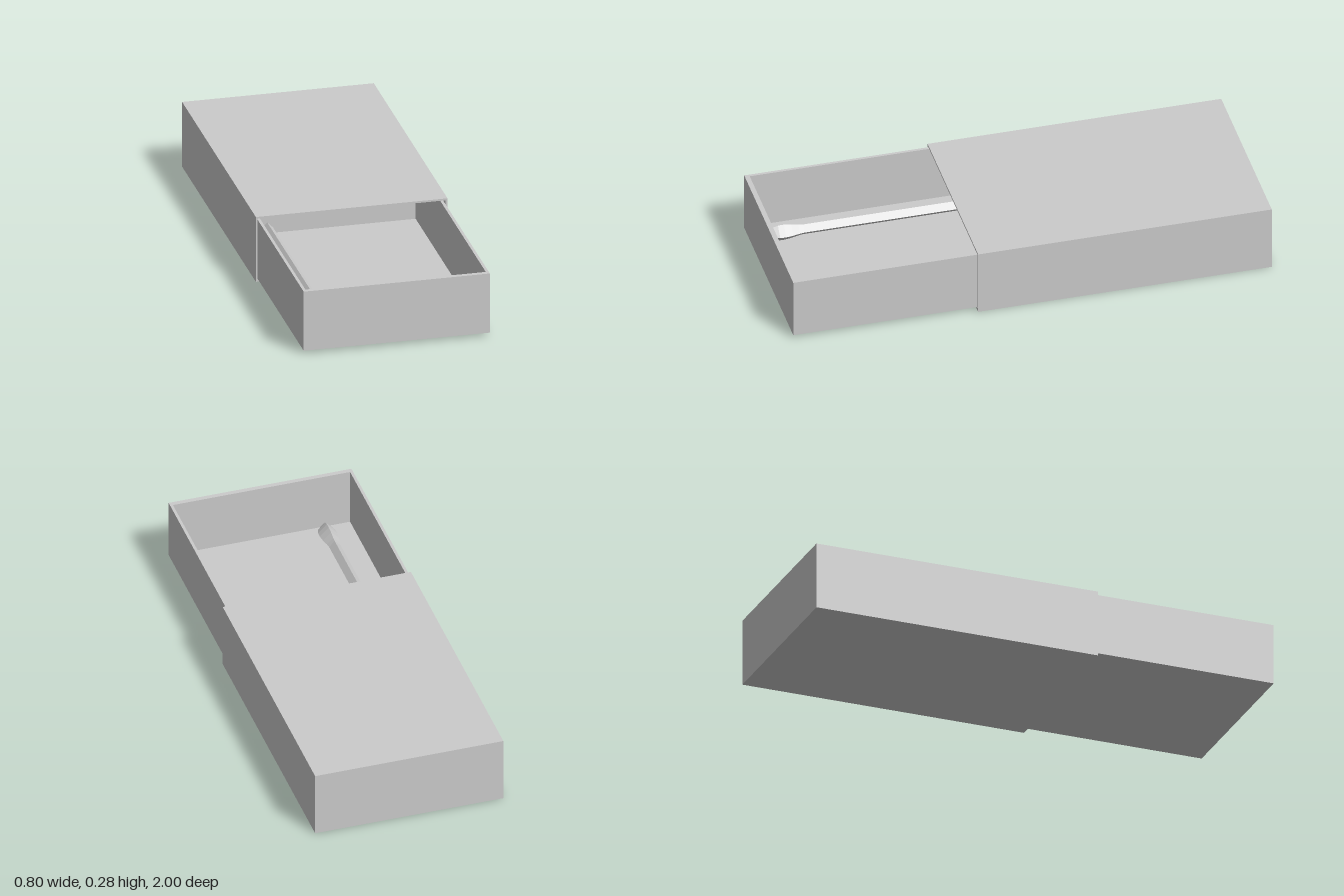
import * as THREE from 'three';

const material = new THREE.MeshStandardMaterial({ color: 0xcccccc, flatShading: true });

function add(parent, name, geometry) {
  const mesh = new THREE.Mesh(geometry, material);
  mesh.name = name;
  parent.add(mesh);
  return mesh;
}

// Box given by its lower and upper corners
function panel(parent, name, a, b) {
  const size = b.map((v, i) => v - a[i]);
  const mesh = add(parent, name, new THREE.BoxGeometry(...size));
  mesh.position.set(...b.map((v, i) => (v + a[i]) / 2));
}

function rectangle(Type, x0, y0, x1, y1) {
  const r = new Type();
  r.moveTo(x0, y0);
  r.lineTo(x1, y0);
  r.lineTo(x1, y1);
  r.lineTo(x0, y1);
  r.closePath();
  return r;
}

export function createModel() {
  const model = new THREE.Group();
  model.name = 'matchbox';

  // Outer sleeve: thin rectangular tube, open at the front
  const sleeve = new THREE.Group();
  sleeve.name = 'sleeve';
  const section = rectangle(THREE.Shape, -0.4, 0, 0.4, 0.285);
  section.holes.push(rectangle(THREE.Path, -0.392, 0.009, 0.391, 0.277));
  const tube = add(sleeve, 'sleeveTube', new THREE.ExtrudeGeometry(section, { depth: 1.23, bevelEnabled: false }));
  tube.position.z = -1;
  panel(sleeve, 'sleeveBack', [-0.393, 0.008, -1], [0.392, 0.278, -0.988]);
  model.add(sleeve);

  // Sliding tray: floor and a wall frame
  const tray = new THREE.Group();
  tray.name = 'tray';
  const [left, right, back, front, low, high] = [-0.393, 0.384, -0.21, 1, 0.013, 0.273];
  const wall = 0.012;
  panel(tray, 'trayFloor', [left, low, back], [right, low + wall, front]);
  const outline = rectangle(THREE.Shape, left, -front, right, -back);
  outline.holes.push(rectangle(THREE.Path, left + wall, -front + 0.02, right - wall, -back - 0.02));
  const walls = add(tray, 'trayWalls',
    new THREE.ExtrudeGeometry(outline, { depth: high - low - wall, bevelEnabled: false }));
  walls.rotation.x = -Math.PI / 2;
  walls.position.y = low + wall;
  model.add(tray);

  // Match: four-sided stick, standing on its edge, with a bulging head
  const match = new THREE.Group();
  match.name = 'match';
  const lathe = (points) => new THREE.LatheGeometry(points.map(([r, y]) => new THREE.Vector2(r, y)), 4);
  add(match, 'matchStick', lathe([[0, -0.16], [0.024, -0.16], [0.024, 0.79]]));
  add(match, 'matchHead', lathe([
    [0.024, 0.79], [0.027, 0.81], [0.034, 0.84], [0.038, 0.87],
    [0.037, 0.895], [0.03, 0.918], [0.017, 0.931], [0, 0.935],
  ]));
  match.rotation.x = Math.PI / 2;
  match.position.set(-0.255, 0.062, 0);
  model.add(match);

  return model;
}
